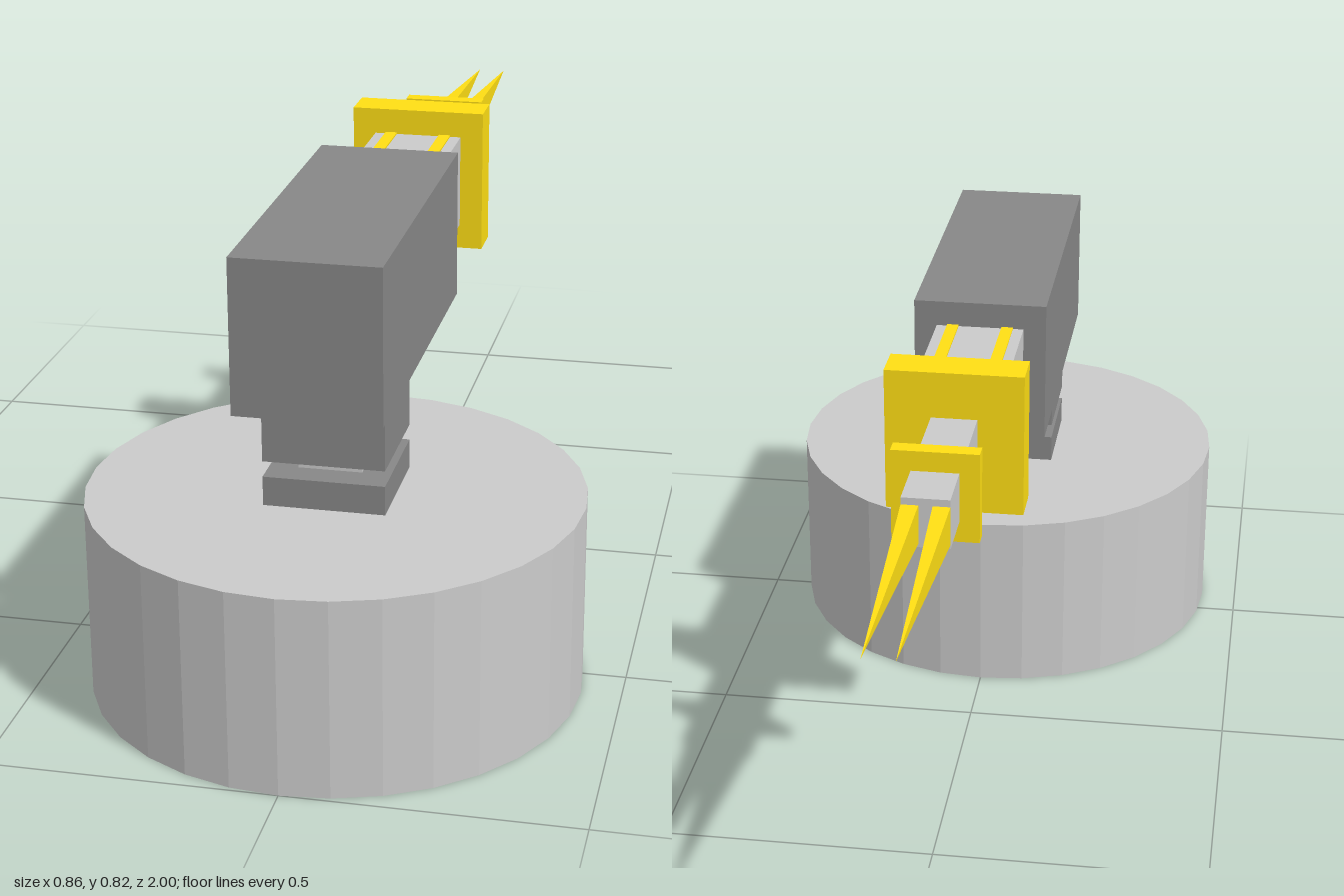
import * as THREE from 'three';

export function createModel() {
  const group = new THREE.Group();
  const paint = (color) => new THREE.MeshStandardMaterial({ color, flatShading: true });
  const grey = paint(0xcccccc), dark = paint(0x888888), yellow = paint(0xffdf14);

  const add = (name, geometry, material, x, y, z) => {
    const mesh = new THREE.Mesh(geometry, material);
    mesh.name = name;
    mesh.position.set(x, y, z);
    group.add(mesh);
    return mesh;
  };
  // Box given by its limits along each axis
  const box = (name, material, [x0, x1], [y0, y1], [z0, z1]) =>
    add(name, new THREE.BoxGeometry(x1 - x0, y1 - y0, z1 - z0), material,
      (x0 + x1) / 2, (y0 + y1) / 2, (z0 + z1) / 2);

  // Round base
  add('base', new THREE.CylinderGeometry(0.43, 0.43, 0.35, 32), grey, 0, 0.175, 0.57);

  // Swivel neck
  box('lowerNeck', dark, [-0.105, 0.105], [0.35, 0.402], [0.46, 0.665]);
  box('neckSpacer', grey, [-0.055, 0.055], [0.402, 0.43], [0.51, 0.615]);
  box('upperNeck', dark, [-0.105, 0.105], [0.43, 0.555], [0.46, 0.665]);

  // Housing and stepped barrel
  box('housing', dark, [-0.126, 0.126], [0.555, 0.825], [0.125, 0.775]);
  box('barrel', grey, [-0.083, 0.083], [0.602, 0.777], [-0.14, 0.125]);
  box('largeCollar', yellow, [-0.126, 0.126], [0.555, 0.825], [-0.215, -0.14]);
  box('rod', grey, [-0.042, 0.042], [0.647, 0.738], [-0.542, -0.215]);
  box('smallCollar', yellow, [-0.077, 0.077], [0.608, 0.775], [-0.438, -0.408]);

  for (const side of [-1, 1]) {
    // Stripe along the top of the barrel
    add('stripe', new THREE.BoxGeometry(0.022, 0.006, 0.265), yellow, side * 0.052, 0.777, -0.0075);

    // Tapered prong: rectangular pyramid pointing backwards
    const prong = new THREE.CylinderGeometry(0, Math.SQRT1_2, 0.458, 4, 1, false)
      .rotateY(Math.PI / 4)
      .rotateX(-Math.PI / 2)
      .scale(0.03, 0.07, 1);
    add('prong', prong, yellow, side * 0.027, 0.69, -0.771);
  }
  return group;
}
